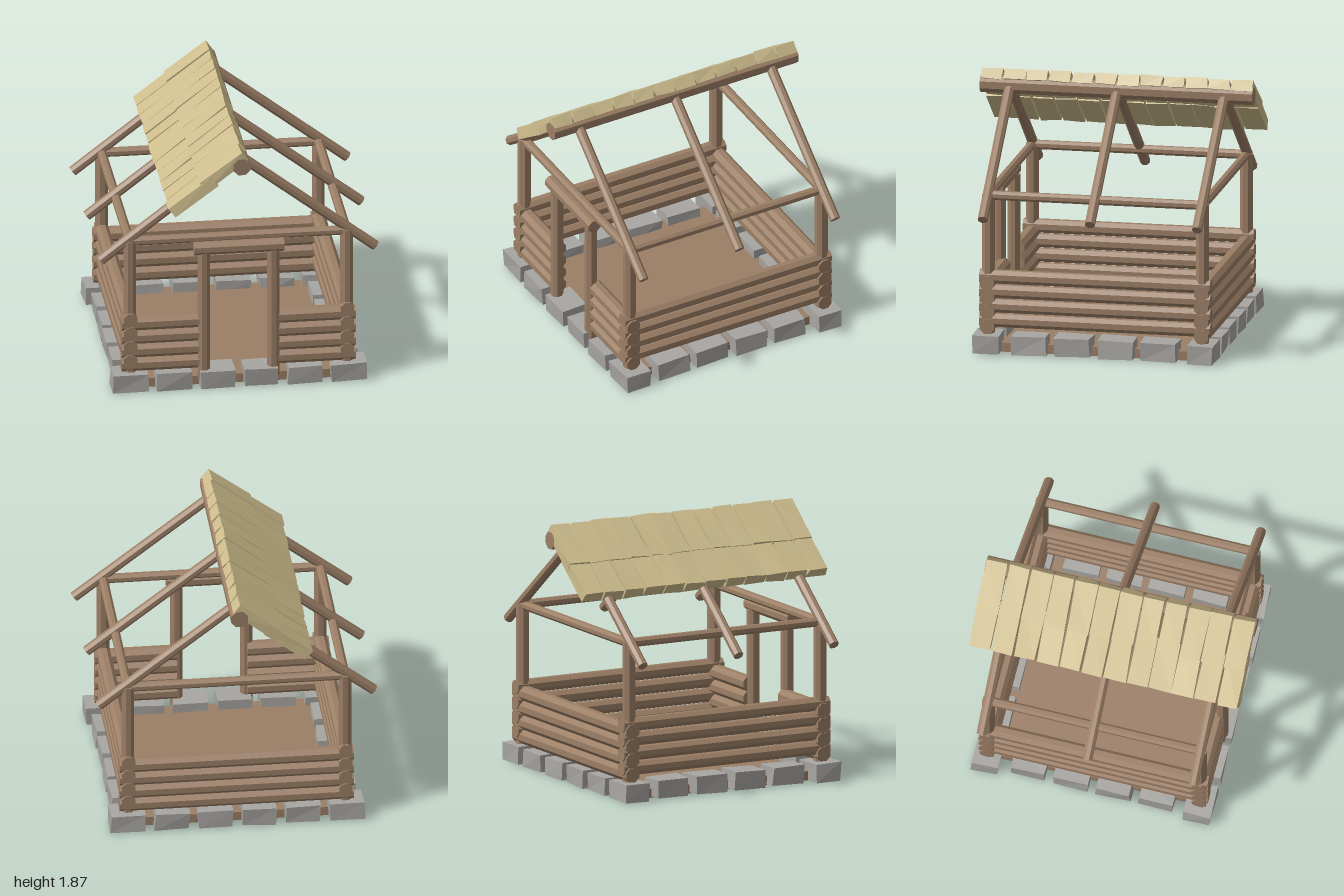
import * as THREE from 'three';

const wood = new THREE.MeshStandardMaterial({ color: 0x9c7f66, flatShading: true });
wood.name = 'wood';
const stone = new THREE.MeshStandardMaterial({ color: 0xa8a6a2, flatShading: true });
stone.name = 'stone';
const shingle = new THREE.MeshStandardMaterial({ color: 0xcdbc8c, flatShading: true });
shingle.name = 'shingle';

// Small seeded random, -1..1
let seed = 7;
function rand() {
  seed = (seed * 16807) % 2147483647;
  return (seed / 2147483647) * 2 - 1;
}

// Eight-sided log between two points; r is the distance to a flat side
function log(parent, name, a, b, r) {
  const from = new THREE.Vector3(...a);
  const dir = new THREE.Vector3(...b).sub(from);
  const R = r / Math.cos(Math.PI / 8);
  const geo = new THREE.CylinderGeometry(R, R, dir.length(), 8).rotateY(Math.PI / 8);
  const mesh = new THREE.Mesh(geo, wood);
  mesh.name = name;
  mesh.position.copy(from).addScaledVector(dir, 0.5);
  mesh.quaternion.setFromUnitVectors(new THREE.Vector3(0, 1, 0), dir.normalize());
  parent.add(mesh);
}

// Box whose eight corners are pushed about a little
function roughBox(w, h, d, jx, jy, jz) {
  const geo = new THREE.BoxGeometry(w, h, d);
  const offsets = Array.from({ length: 8 }, () => [rand() * jx, rand() * jy, rand() * jz]);
  const p = geo.attributes.position;
  for (let i = 0; i < p.count; i++) {
    const k = (p.getX(i) > 0 ? 1 : 0) + (p.getY(i) > 0 ? 2 : 0) + (p.getZ(i) > 0 ? 4 : 0);
    const o = offsets[k];
    p.setXYZ(i, p.getX(i) + o[0], p.getY(i) + o[1], p.getZ(i) + o[2]);
  }
  geo.computeVertexNormals();
  return geo;
}

function group(parent, name) {
  const g = new THREE.Group();
  g.name = name;
  parent.add(g);
  return g;
}

export function createModel() {
  seed = 7;
  const model = new THREE.Group();
  model.name = 'logCabin';
  const C = 0.77; // corner distance from the middle

  // Floor slab
  const floor = new THREE.Mesh(new THREE.BoxGeometry(1.54, 0.065, 1.54), wood);
  floor.name = 'floor';
  floor.position.y = 0.0335;
  model.add(floor);

  // Ring of foundation stones
  const stones = group(model, 'foundation');
  const addStone = (x, z, w, d) => {
    const m = new THREE.Mesh(roughBox(w, 0.13, d, 0.008, 0.005, 0.008), stone);
    m.name = 'foundationStone';
    m.position.set(x, 0.071, z);
    stones.add(m);
  };
  for (const s of [-1, 1]) {
    for (let i = 0; i < 6; i++) addStone(-0.775 + i * 0.31, s * C, 0.245, 0.19);
    for (let i = 1; i < 5; i++) addStone(s * C, -0.775 + i * 0.31, 0.19, 0.25);
  }

  // Low walls of stacked logs, crossing at the corners
  const walls = group(model, 'walls');
  for (let i = 0; i < 4; i++) {
    const yX = 0.19 + i * 0.104;
    const yZ = 0.23 + i * 0.105;
    log(walls, 'backWallLog', [-0.83, yX, -C], [0.83, yX, -C], 0.051);
    for (const s of [-1, 1]) {
      log(walls, 'frontWallLog', [s * 0.25, yX, C], [s * 0.83, yX, C], 0.051);
      log(walls, 'sideWallLog', [s * C, yZ, -0.83], [s * C, yZ, 0.83], 0.047);
    }
  }

  // Corner posts and the beams joining their tops
  const frame = group(model, 'frame');
  for (const s of [-1, 1]) {
    for (const t of [-1, 1]) log(frame, 'cornerPost', [s * C, 0.06, t * C], [s * C, 1.14, t * C], 0.043);
    log(frame, 'crossBeam', [-C, 1.132, s * C], [C, 1.132, s * C], 0.031);
    log(frame, 'sideBeam', [s * C, 1.132, -C], [s * C, 1.132, C], 0.031);
  }

  // Door frame
  const door = group(model, 'doorFrame');
  for (const s of [-1, 1]) log(door, 'doorPost', [s * 0.247, 0.06, 0.795], [s * 0.247, 1.04, 0.795], 0.042);
  log(door, 'doorHeader', [-0.32, 1.066, 0.805], [0.32, 1.066, 0.805], 0.046);

  // Ridge beam and rafters
  const roof = group(model, 'roofFrame');
  log(roof, 'ridgeBeam', [0, 1.75, -0.98], [0, 1.75, 0.98], 0.06);
  for (const z of [-C, 0, C]) {
    for (const s of [-1, 1]) log(roof, 'rafter', [0, 1.755, z], [s * 0.975, 1.0, z], 0.034);
  }

  // Two overlapping rows of shingles on one slope
  const shingles = group(model, 'shingles');
  const angle = Math.atan2(0.755, 0.975);
  const rows = [[-0.345, 1.535], [-0.126, 1.716]];
  for (const [x, y] of rows) {
    for (let i = 0; i < 12; i++) {
      const m = new THREE.Mesh(roughBox(0.375, 0.082, 0.152, 0.006, 0.006, 0.008), shingle);
      m.name = 'roofShingle';
      m.position.set(x, y, -0.9 + i * 0.1635);
      m.rotation.z = angle;
      shingles.add(m);
    }
  }

  return model;
}
